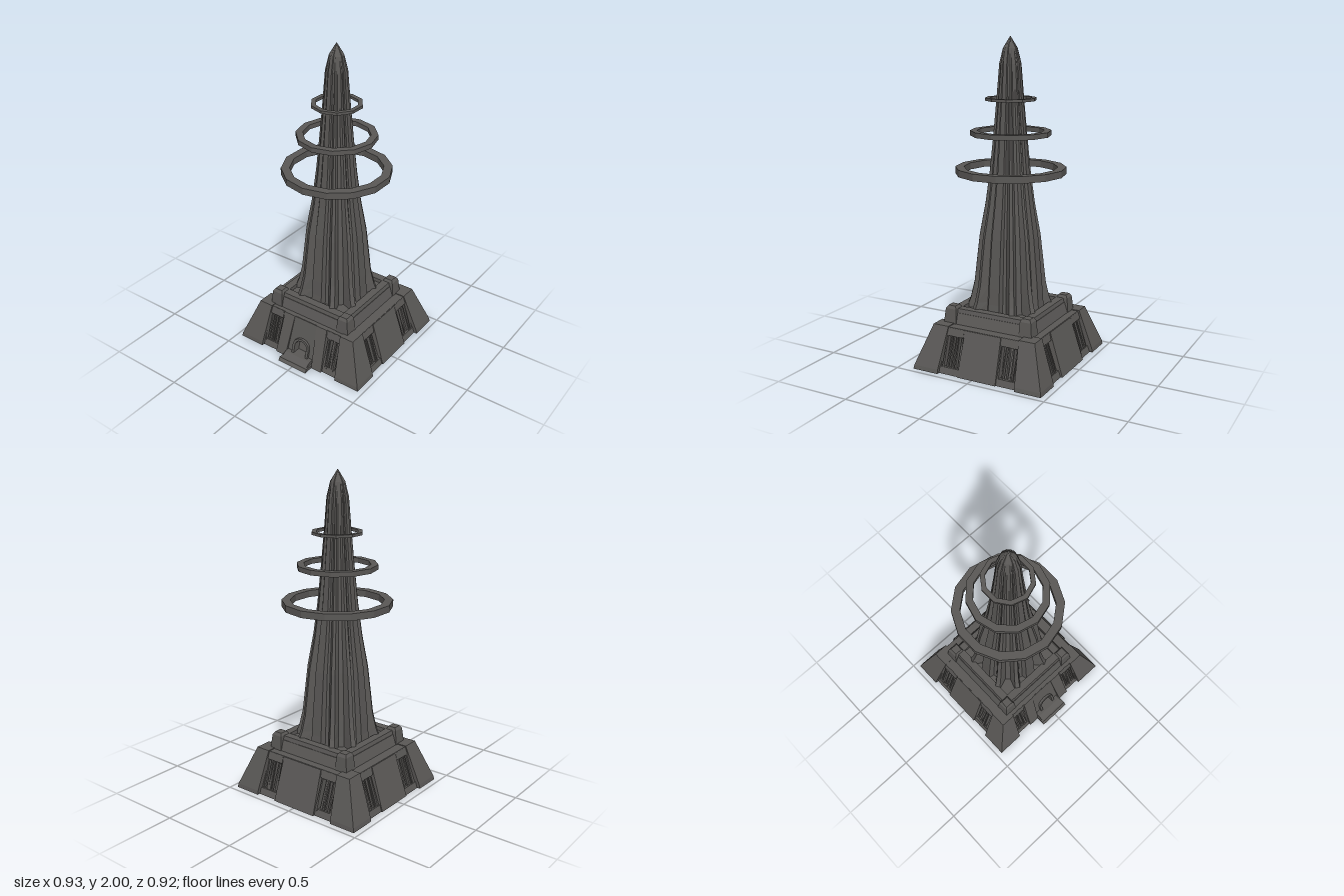
import * as THREE from 'three';

export function createModel() {
  const root = new THREE.Group();
  root.name = 'spireTower';
  const tower = new THREE.Group();
  tower.name = 'tower';
  tower.position.z = -0.03;
  root.add(tower);

  const stone = new THREE.MeshStandardMaterial({ color: 0x5a5856, flatShading: true });
  stone.name = 'darkStone';

  let seed = 7;
  const rand = () => (seed = (seed * 16807) % 2147483647) / 2147483647;

  const add = (parent, name, geometry) => {
    const mesh = new THREE.Mesh(geometry, stone);
    mesh.name = name;
    parent.add(mesh);
    return mesh;
  };

  // Block with different rectangles [x0, x1, z0, z1] at bottom and top
  function block(parent, name, y0, bottom, y1, top) {
    const g = new THREE.BoxGeometry(1, 1, 1);
    const p = g.attributes.position;
    for (let i = 0; i < p.count; i++) {
      const up = p.getY(i) > 0;
      const r = up ? top : bottom;
      p.setXYZ(i, p.getX(i) > 0 ? r[1] : r[0], up ? y1 : y0, p.getZ(i) > 0 ? r[3] : r[2]);
    }
    g.computeVertexNormals();
    return add(parent, name, g);
  }
  const square = (x, z) => [-x, x, -z, z];

  // Inner core and terrace slab of the base
  block(tower, 'baseCore', 0, square(0.405, 0.372), 0.26, square(0.325, 0.3));
  block(tower, 'plinth', 0, square(0.445, 0.415), 0.04, square(0.432, 0.4));
  block(tower, 'terrace', 0.225, square(0.372, 0.345), 0.27, square(0.36, 0.335));

  // Sloping corner piers
  for (const sx of [-1, 1]) for (const sz of [-1, 1]) {
    const rect = (x0, x1, z0, z1) =>
      [Math.min(sx * x0, sx * x1), Math.max(sx * x0, sx * x1),
        Math.min(sz * z0, sz * z1), Math.max(sz * z0, sz * z1)];
    block(tower, 'cornerPierFoot', 0, rect(0.29, 0.465, 0.262, 0.434), 0.025, rect(0.29, 0.46, 0.262, 0.43));
    block(tower, 'cornerPier', 0.025, rect(0.29, 0.46, 0.262, 0.43), 0.275, rect(0.27, 0.365, 0.24, 0.345));
  }

  // Walls: a central panel, barred openings and lintels on each side
  for (let k = 0; k < 4; k++) {
    const wall = new THREE.Group();
    wall.name = ['frontWall', 'leftWall', 'backWall', 'rightWall'][k];
    wall.rotation.y = k * Math.PI / 2;
    tower.add(wall);
    const side = k % 2 === 1;
    const foot = side ? 0.452 : 0.427, head = side ? 0.365 : 0.34;
    const n = y => foot + (head - foot) * y / 0.27;
    const half = side ? 0.13 : 0.155, edge = side ? 0.27 : 0.295;

    if (k === 0) {
      for (const s of [-1, 1]) {
        const r = (a, b, z) => s > 0 ? [a, b, 0.25, z] : [-b, -a, 0.25, z];
        block(wall, 'doorButtress', 0, r(0.105, 0.18, foot), 0.27, r(0.085, 0.165, head));
      }
    } else {
      block(wall, 'wallPanel', 0, [-half, half, 0.25, foot], 0.268, [-half + 0.008, half - 0.008, 0.25, head]);
    }

    for (const s of [-1, 1]) {
      const a = k === 0 ? 0.175 : half, w = edge - a;
      const mid = s * (a + edge) / 2;
      // Lintel above the opening
      block(wall, 'lintel', 0.222, [mid - w / 2, mid + w / 2, 0.25, n(0.222) - 0.005],
        0.268, [mid - w / 2, mid + w / 2, 0.25, n(0.268) - 0.004]);
      // Rough upright bars
      const count = 7;
      for (let i = 0; i < count; i++) {
        const u = mid + ((i + 0.5) / count - 0.5) * w + (rand() - 0.5) * 0.006;
        const t = 0.003 + rand() * 0.005, lean = (rand() - 0.5) * 0.012, d = 0.006 + rand() * 0.018;
        block(wall, 'windowBar', 0.03, [u - t, u + t, 0.28, n(0.03) - d],
          0.23, [u + lean - t * 0.6, u + lean + t * 0.6, 0.28, n(0.23) - d]);
      }
    }
  }

  // Recessed entrance wall with an arched opening, leaning with the base
  const arch = (shape, r, spring) => {
    shape.moveTo(r, 0);
    shape.lineTo(r, spring);
    for (let i = 1; i <= 6; i++) {
      const a = i * Math.PI / 6;
      shape.lineTo(r * Math.cos(a), spring + r * 0.8 * Math.sin(a));
    }
    shape.lineTo(-r, 0);
    return shape;
  };
  function lean(g, z, slope) {
    const p = g.attributes.position;
    for (let i = 0; i < p.count; i++) p.setZ(i, p.getZ(i) + z - slope * p.getY(i));
    g.computeVertexNormals();
    return g;
  }
  const face = new THREE.Shape();
  [[-0.115, 0], [-0.045, 0], [-0.045, 0.1], [-0.025, 0.138], [0.025, 0.138], [0.045, 0.1],
    [0.045, 0], [0.115, 0], [0.1, 0.268], [-0.1, 0.268]].forEach(([x, y], i) =>
    i ? face.lineTo(x, y) : face.moveTo(x, y));
  add(tower, 'entranceWall', lean(new THREE.ExtrudeGeometry(face, { depth: 0.07, bevelEnabled: false }), 0.34, 0.27));
  const frame = arch(new THREE.Shape(), 0.062, 0.1);
  frame.holes.push(arch(new THREE.Path(), 0.045, 0.1));
  add(tower, 'doorFrame', lean(new THREE.ExtrudeGeometry(frame, { depth: 0.04, bevelEnabled: false }), 0.385, 0.27));
  block(tower, 'entranceStep', 0, [-0.11, 0.105, 0.36, 0.49], 0.02, [-0.11, 0.105, 0.36, 0.475]);
  block(tower, 'entranceSill', 0.02, [-0.1, 0.095, 0.35, 0.465], 0.042, [-0.1, 0.095, 0.35, 0.43]);

  // Upper tier with rails and corner posts
  const tier = new THREE.Group();
  tier.name = 'upperTier';
  tier.position.z = 0.01;
  tower.add(tier);
  block(tier, 'tierBody', 0.265, square(0.3, 0.3), 0.335, square(0.275, 0.275));
  for (let k = 0; k < 4; k++) {
    const corner = new THREE.Group();
    corner.name = 'tierCorner';
    corner.rotation.y = k * Math.PI / 2;
    tier.add(corner);
    block(corner, 'tierRail', 0.335, [-0.22, 0.22, 0.215, 0.272], 0.36, [-0.22, 0.22, 0.215, 0.265]);
    block(corner, 'cornerPost', 0.265, [0.215, 0.302, 0.215, 0.302], 0.36, [0.22, 0.292, 0.22, 0.292]);
    block(corner, 'postCap', 0.36, [0.22, 0.292, 0.22, 0.292], 0.378, [0.23, 0.28, 0.23, 0.28]);
  }

  // Fluted spire: broad ribs on the axes, narrow flaring ribs between
  // Each level: height, broad rib radius, narrow rib radius, groove radius
  const levels = [
    [0.32, 0.225, 0.275, 0.19], [0.4, 0.215, 0.245, 0.182], [0.5, 0.208, 0.222, 0.176],
    [0.8, 0.18, 0.188, 0.153], [1.0, 0.149, 0.151, 0.128], [1.2, 0.122, 0.124, 0.107],
    [1.42, 0.102, 0.102, 0.09], [1.63, 0.083, 0.083, 0.074], [1.84, 0.067, 0.066, 0.06],
    [1.93, 0.045, 0.044, 0.042], [2.0, 0.001, 0.001, 0.001],
  ];
  const ribs = 12, sections = [];
  const ribScale = Array.from({ length: ribs }, () => 0.97 + rand() * 0.07);
  for (const [y, broad, narrow, groove] of levels) {
    const section = [];
    for (let i = 0; i < ribs; i++) {
      const a = i / ribs * Math.PI * 2, main = i % 3 === 0;
      const rib = main ? broad : groove + (narrow - groove) * ribScale[i];
      const w = main ? 0.17 : 0.06, g = main ? 0.24 : 0.17;
      for (const [da, r] of [[-g, groove], [-w, rib], [w, rib], [g, groove]])
        section.push([Math.sin(a + da) * r, y, Math.cos(a + da) * r]);
    }
    sections.push(section);
  }
  const verts = [], count = sections[0].length;
  for (let s = 0; s < sections.length - 1; s++) for (let i = 0; i < count; i++) {
    const j = (i + 1) % count;
    const a = sections[s][i], b = sections[s][j], c = sections[s + 1][j], d = sections[s + 1][i];
    verts.push(...a, ...b, ...c, ...a, ...c, ...d);
  }
  const spireGeometry = new THREE.BufferGeometry();
  spireGeometry.setAttribute('position', new THREE.Float32BufferAttribute(verts, 3));
  spireGeometry.computeVertexNormals();
  add(tower, 'spire', spireGeometry).position.z = 0.01;

  // Floating faceted rings: bottom, top, inner and outer radius, sides
  for (const [y0, y1, inner, outer, sides] of [
    [1.18, 1.222, 0.285, 0.338, 14], [1.414, 1.444, 0.203, 0.246, 12], [1.623, 1.64, 0.128, 0.156, 10]]) {
    const profile = [[inner, y0], [outer, y0], [outer, y1], [inner, y1], [inner, y0]]
      .map(([x, y]) => new THREE.Vector2(x, y));
    add(tower, 'floatingRing', new THREE.LatheGeometry(profile, sides)).position.z = 0.006;
  }
  return root;
}
